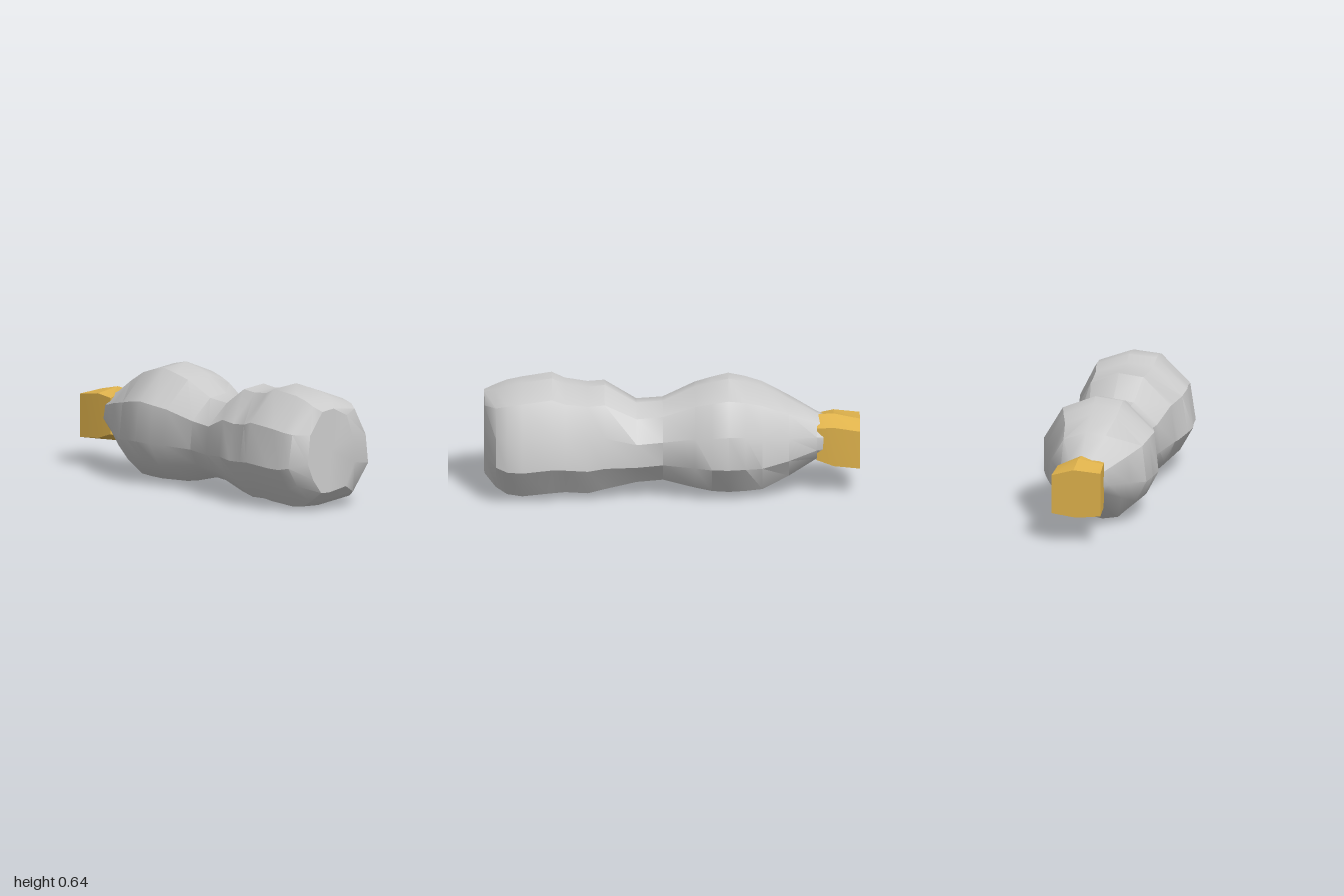
import * as THREE from 'three';
import { toCreasedNormals } from 'three/addons/utils/BufferGeometryUtils.js';

// Uneven cross-sections, scaled to -1..1, counter-clockwise seen from +z
const BODY = [[1, -0.35], [0.94, 0.24], [0.66, 0.8], [0.1, 1], [-0.38, 0.95],
  [-0.9, 0.42], [-1, -0.26], [-0.78, -0.65], [-0.43, -0.99], [-0.1, -1], [0.62, -0.9]];
const CAP = [[1, -0.85], [1, 0.75], [0.1, 1], [-1, 0.9], [-1, -0.9], [0, -1]];

// Skin a row of sections [z, xMin, xMax, yMin, yMax, roundness], front to back, closed at both ends
function loft(outline, sections, crease) {
  const n = outline.length;
  const pos = [];
  const idx = [];
  const add = (x, y, z) => pos.push(x, y, z) / 3 - 1;
  for (const [z, x0, x1, y0, y1, round = 0] of sections) {
    for (const [u, v] of outline) {
      // Roundness pulls each corner onto the inscribed ellipse
      const s = THREE.MathUtils.lerp(1, 1 / Math.hypot(u, v), round) / 2;
      add((x0 + x1) / 2 + u * s * (x1 - x0), (y0 + y1) / 2 + v * s * (y1 - y0), z);
    }
  }
  for (let i = 0; i < sections.length - 1; i++) {
    for (let j = 0; j < n; j++) {
      const a = i * n + j;
      const b = i * n + (j + 1) % n;
      idx.push(a, a + n, b, b, a + n, b + n);
    }
  }
  const centre = ([z, x0, x1, y0, y1]) => add((x0 + x1) / 2, (y0 + y1) / 2, z);
  const front = centre(sections[0]);
  const back = centre(sections[sections.length - 1]);
  const last = (sections.length - 1) * n;
  for (let j = 0; j < n; j++) {
    const k = (j + 1) % n;
    idx.push(front, j, k, back, last + k, last + j);
  }
  const g = new THREE.BufferGeometry();
  g.setAttribute('position', new THREE.Float32BufferAttribute(pos, 3));
  g.setIndex(idx);
  return toCreasedNormals(g, crease);
}

function part(name, geometry, color) {
  const mesh = new THREE.Mesh(geometry, new THREE.MeshStandardMaterial({ color }));
  mesh.name = name;
  return mesh;
}

export function createModel() {
  const group = new THREE.Group();
  group.name = 'bottle';

  // Lying bottle: domed base, label band, pinched waist, bulging shoulder, neck
  group.add(part('bottleBody', loft(BODY, [
    [1, -0.19, 0.13, 0.1, 0.55],
    [0.94, -0.275, 0.27, 0.05, 0.575],
    [0.88, -0.295, 0.305, 0.015, 0.6],
    [0.8, -0.3, 0.315, 0.003, 0.618],
    [0.64, -0.325, 0.305, 0.015, 0.637],
    [0.57, -0.31, 0.29, 0.02, 0.605],
    [0.45, -0.285, 0.28, 0.012, 0.59],
    [0.36, -0.285, 0.275, 0.02, 0.6, 0.5],
    [0.19, -0.24, 0.235, 0.05, 0.5, 1],
    [0.05, -0.235, 0.225, 0.06, 0.51, 1],
    [-0.12, -0.28, 0.275, 0.02, 0.59, 0.8],
    [-0.21, -0.305, 0.3, 0.005, 0.615, 0.7],
    [-0.3, -0.325, 0.315, 0, 0.635, 0.7],
    [-0.39, -0.31, 0.285, 0.003, 0.615, 0.6],
    [-0.48, -0.29, 0.25, 0.01, 0.585, 0.5],
    [-0.62, -0.23, 0.215, 0.09, 0.515, 0.5],
    [-0.77, -0.145, 0.13, 0.175, 0.43, 1],
    [-0.85, -0.11, 0.1, 0.2, 0.4, 1],
  ], 0.6), 0xcccccc));

  // Boxy screw cap, rounder at its open end
  group.add(part('cap', loft(CAP, [
    [-0.77, -0.135, 0.125, 0.16, 0.425, 0.7],
    [-0.86, -0.135, 0.13, 0.14, 0.43, 0.3],
    [-1, -0.135, 0.13, 0.14, 0.4],
  ], 0.3), 0xe0b34c));

  return group;
}
